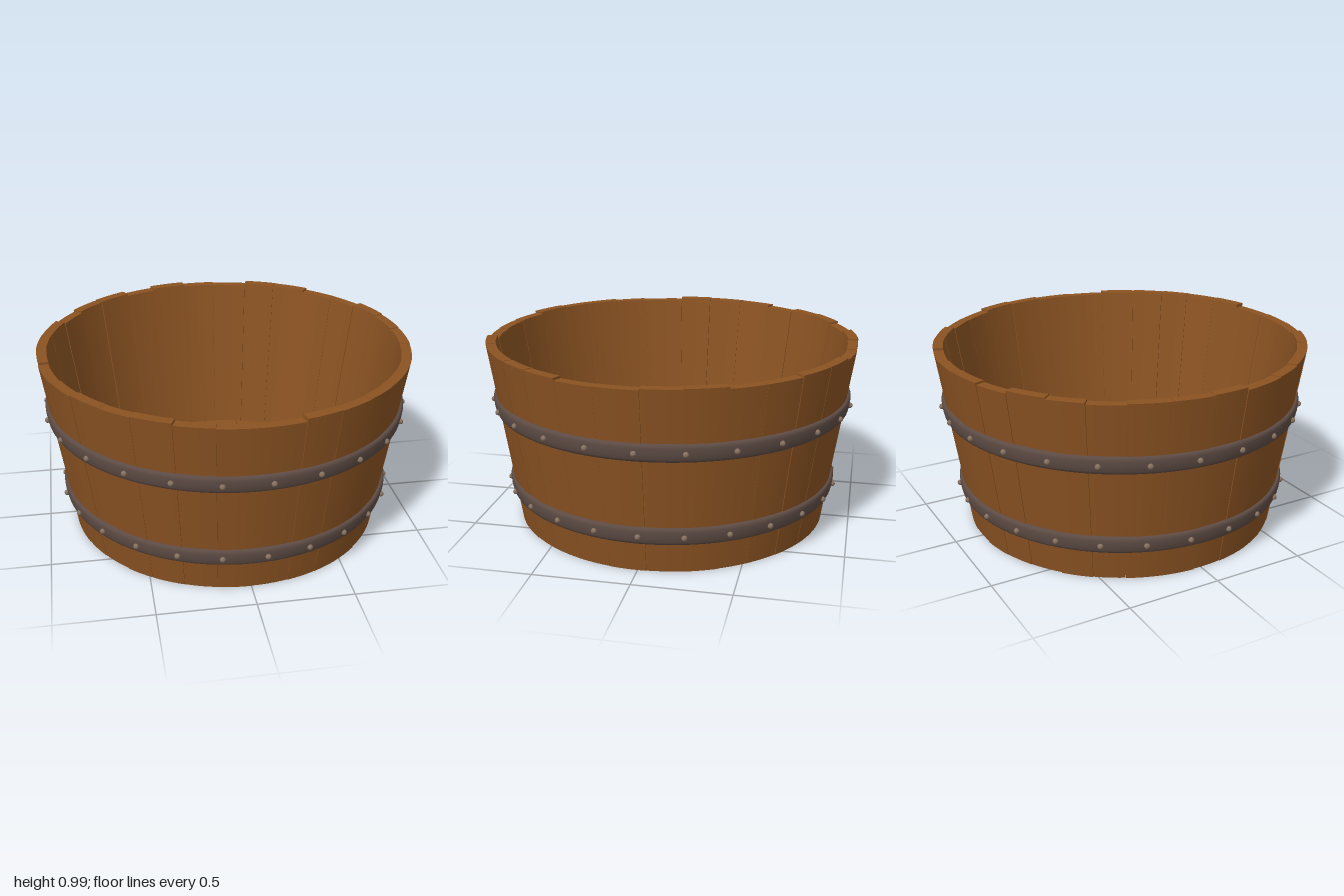
import * as THREE from 'three';

const wood = new THREE.MeshStandardMaterial({ color: 0x8b5322 });
wood.name = 'oak wood';
const iron = new THREE.MeshStandardMaterial({ color: 0x5e4c45 });
iron.name = 'dark iron';
const rivetMetal = new THREE.MeshStandardMaterial({ color: 0x85705f });
rivetMetal.name = 'worn rivet metal';

const rad = THREE.MathUtils.degToRad;
const outerRadius = (y) => 0.848 + 0.15 * y;
const innerRadius = (y) => 0.79 + 0.155 * y;

// stave joints in degrees, from the front (+z) towards the left (+x)
const joints = [0, 13, 24, 35, 45, 56, 68, 80, 93, 105, 117, 128, 140, 152, 163, 175, 186,
  198, 209, 221, 232, 243, 255, 267, 278, 292, 303, 315, 325, 337, 348.5, 360];

function seeded(seed) {
  return () => {
    seed = (seed * 16807) % 2147483647;
    return seed / 2147483647;
  };
}

function part(name, geometry, material) {
  const mesh = new THREE.Mesh(geometry, material);
  mesh.name = name;
  return mesh;
}

// Moves each vertex of a unit box (coordinates -0.5..0.5) by a rule
function shapeBox(geometry, rule) {
  const pos = geometry.attributes.position;
  for (let i = 0; i < pos.count; i++) {
    pos.setXYZ(i, ...rule(pos.getX(i), pos.getY(i), pos.getZ(i)));
  }
  geometry.computeVertexNormals();
  return geometry;
}

// One curved, outward leaning stave between two angles
function staveGeometry(from, to, height, shift) {
  return shapeBox(new THREE.BoxGeometry(1, 1, 1, 5, 1, 1), (x, y, z) => {
    const angle = rad(THREE.MathUtils.lerp(from + 0.04, to - 0.04, x + 0.5));
    const h = (y + 0.5) * height;
    const r = (z > 0 ? outerRadius(h) : innerRadius(h)) + shift;
    return [r * Math.sin(angle), h, r * Math.cos(angle)];
  });
}

// One floor board, its ends cut to the round of the tub
function boardGeometry(x0, x1, radius) {
  return shapeBox(new THREE.BoxGeometry(1, 1, 1, 10, 1, 1), (x, y, z) => {
    const px = THREE.MathUtils.lerp(x0, x1, x + 0.5);
    const half = Math.sqrt(Math.max(radius * radius - px * px, 0.0004));
    return [px, 0.08 + y * 0.04, z * 2 * half];
  });
}

// Iron band with rounded edges that follows the slope of the wall
function hoopGeometry(centerY) {
  const profile = [[-0.047, -0.012], [-0.047, 0.008], [-0.041, 0.016], [-0.028, 0.021],
    [0, 0.023], [0.028, 0.021], [0.041, 0.016], [0.047, 0.008], [0.047, -0.012]];
  return new THREE.LatheGeometry(profile.map(([dy, out]) =>
    new THREE.Vector2(outerRadius(centerY + dy) + out, centerY + dy)), 96);
}

export function createModel() {
  const tub = new THREE.Group();
  tub.name = 'wooden tub';

  // Wall of staves with slightly uneven tops
  const random = seeded(41);
  const staves = new THREE.Group();
  staves.name = 'staves';
  for (let i = 0; i < joints.length - 1; i++) {
    const height = 0.977 + 0.018 * random();
    const shift = (random() - 0.5) * 0.006;
    staves.add(part('stave', staveGeometry(joints[i], joints[i + 1], height, shift), wood));
  }
  tub.add(staves);

  // Raised floor of eight boards
  const floor = new THREE.Group();
  floor.name = 'floor';
  const radius = 0.812;
  const width = radius / 4;
  for (let i = 0; i < 8; i++) {
    const x = -radius + i * width;
    floor.add(part('floorBoard', boardGeometry(x + 0.003, x + width - 0.003, radius), wood));
  }
  tub.add(floor);

  // Two riveted hoops
  const rivetGeometry = new THREE.SphereGeometry(0.015, 12, 8);
  for (const [name, y] of [['lowerHoop', 0.208], ['upperHoop', 0.665]]) {
    const hoop = new THREE.Group();
    hoop.name = name;
    hoop.add(part('band', hoopGeometry(y), iron));
    for (let i = 0; i < 25; i++) {
      const angle = rad(4.6 + i * 14.4);
      const r = outerRadius(y) + 0.025;
      const rivet = part('rivet', rivetGeometry, rivetMetal);
      rivet.position.set(r * Math.sin(angle), y, r * Math.cos(angle));
      hoop.add(rivet);
    }
    tub.add(hoop);
  }
  return tub;
}
